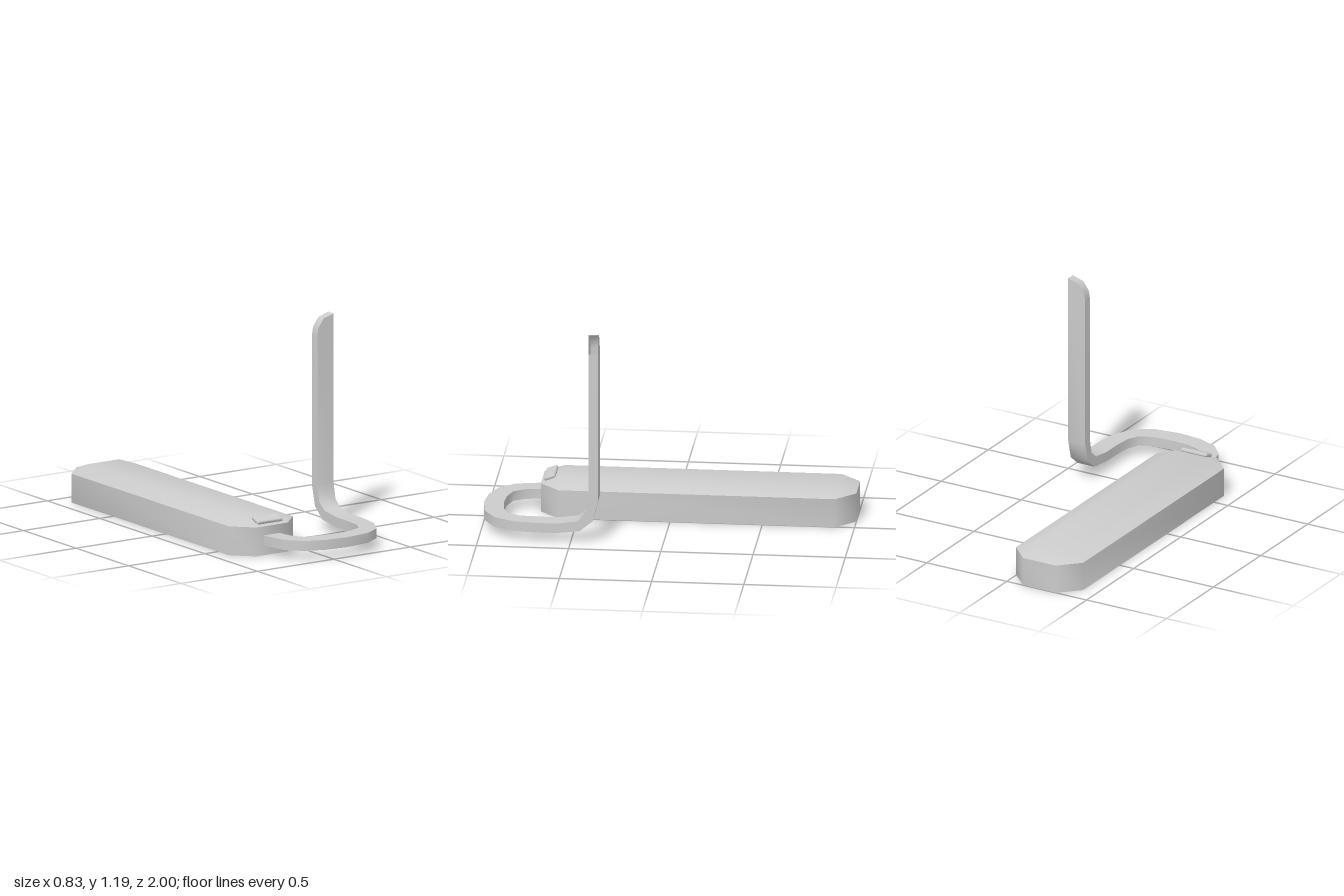
import * as THREE from 'three';
import { toCreasedNormals } from 'three/addons/utils/BufferGeometryUtils.js';
import { RoundedBoxGeometry } from 'three/addons/geometries/RoundedBoxGeometry.js';

const grey = new THREE.MeshStandardMaterial({ color: 0xcccccc, side: THREE.DoubleSide });

// Skins a list of closed rings of [x, y, z] points; open(i, j) leaves a panel out.
function loft(rings, crease, capEnd, open = () => false) {
  const pos = [];
  const same = (p, q) => p.every((v, k) => v === q[k]);
  const tri = (a, b, c) => {
    if (!same(a, b) && !same(b, c) && !same(c, a)) pos.push(...a, ...b, ...c);
  };
  const n = rings[0].length;
  for (let i = 0; i < rings.length - 1; i++) {
    for (let j = 0; j < n; j++) {
      if (open(i, j)) continue;
      const k = (j + 1) % n, r = rings[i], s = rings[i + 1];
      tri(r[j], s[j], s[k]);
      tri(r[j], s[k], r[k]);
    }
  }
  const first = rings[0], last = rings[rings.length - 1];
  for (let j = 1; j < n - 1; j++) {
    tri(first[0], first[j], first[j + 1]);
    if (capEnd) tri(last[0], last[j + 1], last[j]);
  }
  const geo = new THREE.BufferGeometry();
  geo.setAttribute('position', new THREE.Float32BufferAttribute(pos, 3));
  return toCreasedNormals(geo, crease);
}

function addMesh(group, name, geometry) {
  const mesh = new THREE.Mesh(geometry, grey);
  mesh.name = name;
  group.add(mesh);
  return mesh;
}

// Long case: eight-sided outline whose lid slopes up to a flat rectangle
function caseGeometry() {
  const [x0, x1, z0, z1, c] = [-0.415, 0.005, -1, 0.71, 0.107];
  const outline = (y) => [
    [x1 - c, y, z1], [x0 + c, y, z1], [x0, y, z1 - c], [x0, y, z0 + c],
    [x0 + c, y, z0], [x1 - c, y, z0], [x1, y, z0 + c], [x1, y, z1 - c],
  ];
  const corner = (x, z) => [x, 0.198, z];
  const a = corner(x1 - c, z1 - c), b = corner(x0 + c, z1 - c);
  const d = corner(x0 + c, z0 + c), e = corner(x1 - c, z0 + c);
  return loft([outline(0), outline(0.16), [a, b, b, d, d, e, e, a]], 0.9, true);
}

// Flat bar: hooks round in plan, bends upward, ends in a rounded open tip
function hookGeometry() {
  const rings = [];
  // plan of the hook: outer x, outer z, inner x, inner z
  const plan = [
    [-0.26, 0.69, -0.155, 0.69], [-0.255, 0.74, -0.153, 0.73], [-0.23, 0.86, -0.14, 0.80],
    [-0.155, 0.945, -0.10, 0.86], [-0.04, 0.987, -0.02, 0.885], [0.09, 1, 0.09, 0.892],
    [0.235, 0.98, 0.195, 0.88], [0.335, 0.92, 0.265, 0.85], [0.395, 0.81, 0.295, 0.79],
    [0.412, 0.68, 0.305, 0.68],
  ];
  for (const [xo, zo, xi, zi] of plan) {
    rings.push([[xo, 0.11, zo], [xi, 0.11, zi], [xi, 0.055, zi], [xo, 0.055, zo]]);
  }
  // upward bend: front y, front z, back y, back z
  const bend = [
    [0.11, 0.575, 0.055, 0.585], [0.125, 0.465, 0.07, 0.45],
    [0.165, 0.418, 0.13, 0.378], [0.25, 0.4, 0.24, 0.35],
  ];
  const [xo, xi] = [0.412, 0.305];
  for (const [yf, zf, yb, zb] of bend) {
    rings.push([[xo, yf, zf], [xi, yf, zf], [xi, yb, zb], [xo, yb, zb]]);
  }
  // post and tip: inner edge x and height
  const tipStart = rings.length;
  for (const [x, y] of [[xi, 1.08], [0.311, 1.12], [0.346, 1.17], [xo, 1.19]]) {
    rings.push([[xo, y, 0.4], [x, y, 0.4], [x, y, 0.35], [xo, y, 0.35]]);
  }
  return loft(rings, 0.75, false, (i, j) => j === 3 && i >= tipStart);
}

export function createModel() {
  const model = new THREE.Group();
  model.name = 'hookedDevice';
  addMesh(model, 'case', caseGeometry());
  addMesh(model, 'hook', hookGeometry());

  // Button lying on the sloped front of the lid
  const button = addMesh(model, 'button', new RoundedBoxGeometry(0.165, 0.022, 0.066, 2, 0.009));
  button.position.set(-0.205, 0.187, 0.665);
  button.rotation.x = 0.35;
  return model;
}
